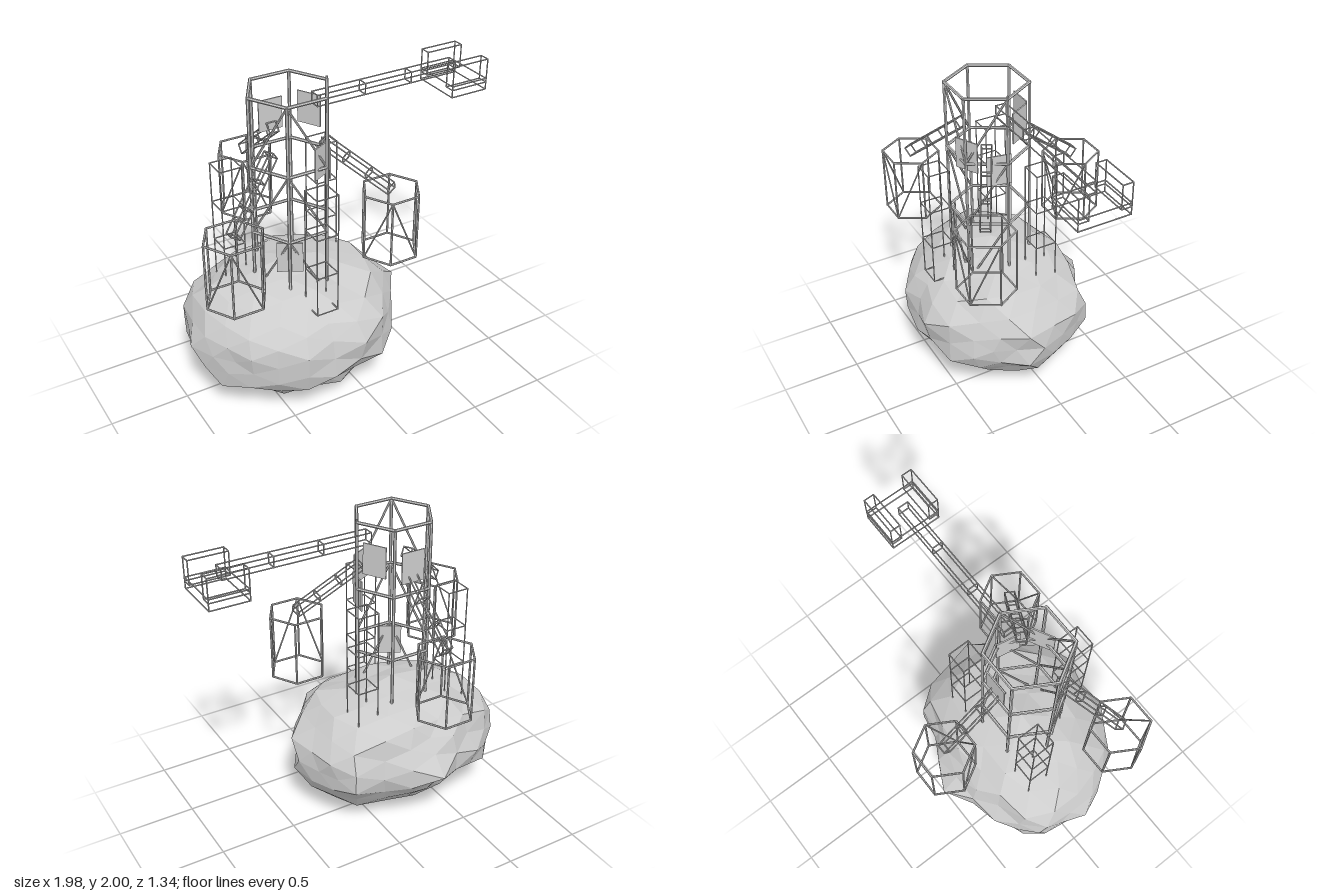
import * as THREE from 'three';
import { mergeGeometries, mergeVertices } from 'three/addons/utils/BufferGeometryUtils.js';

const V = (x, y, z) => new THREE.Vector3(x, y, z);
const CX = -0.28, CZ = 0.079; // tower axis

// straight rod between two points
function rod(a, b, r) {
  const d = b.clone().sub(a);
  const g = new THREE.CylinderGeometry(r, r, d.length() + r, 6);
  g.applyQuaternion(new THREE.Quaternion().setFromUnitVectors(V(0, 1, 0), d.normalize()));
  return g.translate((a.x + b.x) / 2, (a.y + b.y) / 2, (a.z + b.z) / 2);
}

// rectangular wire cage: a frame at every centre, joined by four long rods
function cage(centres, a, b, r) {
  const rods = [];
  const frames = centres.map(c => [[1, 1], [1, -1], [-1, -1], [-1, 1]].map(
    ([s, t]) => c.clone().addScaledVector(a, s).addScaledVector(b, t)));
  frames.forEach((f, n) => {
    for (let i = 0; i < 4; i++) {
      rods.push(rod(f[i], f[(i + 1) % 4], r));
      if (n) rods.push(rod(frames[n - 1][i], f[i], r));
    }
  });
  return rods;
}

// hexagonal wire tower with braces on its three front faces
function hexFrame(cx, cz, R, levels, rMain, rBrace) {
  const rods = [];
  const p = (i, y) => V(cx + R * Math.cos(i * Math.PI / 3), y, cz + R * Math.sin(i * Math.PI / 3));
  const y0 = levels[0], y1 = levels[levels.length - 1];
  for (let i = 0; i < 6; i++) {
    rods.push(rod(p(i, y0), p(i, y1), rMain));
    for (const y of levels) rods.push(rod(p(i, y), p(i + 1, y), rMain));
  }
  for (let n = 1; n < levels.length; n++) {
    for (let i = 0; i < 3; i++) {
      const up = i % 2 === 0;
      rods.push(rod(p(i, levels[up ? n : n - 1]), p(i + 1, levels[up ? n - 1 : n]), rBrace));
    }
  }
  return rods;
}

// boulder outlines in the three main planes, as radius factors every 22.5 degrees
const OUTLINE_XY = [1, 1, 1.03, 0.92, 0.97, 0.94, 1.03, 1, 1, 1.03, 0.99, 0.94, 1, 0.985, 1, 1.01];
const OUTLINE_ZY = [0.99, 0.99, 0.945, 0.915, 1, 1, 1, 0.92, 1.05, 0.82, 0.85, 1.02, 1, 1.015, 0.99, 0.98];
const OUTLINE_XZ = [1.01, 0.97, 1, 1.04, 0.99, 0.935, 0.93, 0.925, 0.97, 1.02, 1.02, 0.91, 1.05, 0.9, 1.01, 1.03];

function outlineRadius(outline, u, v) {
  const t = ((Math.atan2(v, u) / (Math.PI * 2) + 1) % 1) * 16;
  const i = Math.floor(t);
  return THREE.MathUtils.lerp(outline[i % 16], outline[(i + 1) % 16], t - i);
}

// faceted boulder: an ellipsoid blended between the outlines and roughened
function boulderGeometry() {
  let g = new THREE.IcosahedronGeometry(1, 3);
  g.deleteAttribute('uv');
  g.deleteAttribute('normal');
  g = mergeVertices(g, 1e-3);
  const pos = g.attributes.position, d = V(0, 0, 0);
  const hash = i => {
    const s = Math.sin(i * 127.1 + 31.7) * 43758.5453;
    return s - Math.floor(s);
  };
  for (let i = 0; i < pos.count; i++) {
    d.fromBufferAttribute(pos, i).normalize();
    const w = [d.z, d.x, d.y].map(k => (1 - k * k) ** 6);
    let s = (w[0] * outlineRadius(OUTLINE_XY, d.x, d.y) + w[1] * outlineRadius(OUTLINE_ZY, d.z, d.y)
      + w[2] * outlineRadius(OUTLINE_XZ, d.x, d.z)) / (w[0] + w[1] + w[2]);
    // the base point and the rear spike stay sharp
    if (d.y > -0.99 && d.z > -0.99) s *= 0.92 + 0.11 * hash(i);
    pos.setXYZ(i, -0.285 + d.x * s * 0.71, 0.44 + d.y * s * 0.44, 0.07 + d.z * s * 0.6);
  }
  g = g.toNonIndexed();
  g.computeVertexNormals();
  return g;
}

export function createModel() {
  const root = new THREE.Group();
  const grey = new THREE.MeshStandardMaterial({ color: 0xcccccc, flatShading: true });
  grey.name = 'lightGrey';
  const add = (name, geo) => {
    const m = new THREE.Mesh(Array.isArray(geo) ? mergeGeometries(geo) : geo, grey);
    m.name = name;
    root.add(m);
    return m;
  };

  add('boulder', boulderGeometry());

  // central tower, with one post rising slightly above the top ring
  const tower = hexFrame(CX, CZ, 0.25, [0.69, 1.12, 1.55, 1.978], 0.01, 0.007);
  tower.push(rod(V(CX + 0.25, 1.97, CZ), V(CX + 0.25, 1.995, CZ), 0.007));
  add('tower', tower);

  // three hanging pods and the sloping arms that carry them
  [30, 150, 270].forEach((deg, n) => {
    const t = deg * Math.PI / 180;
    const out = V(Math.cos(t), 0, Math.sin(t));
    const at = (r, y) => V(CX + out.x * r, y, CZ + out.z * r);
    const pod = at(0.594, 0);
    add('pod' + (n + 1), hexFrame(pod.x, pod.z, 0.18, [0.915, 1.334], 0.0065, 0.005));

    const a = at(0.195, 1.655), b = at(0.594, 1.338);
    const side = V(-out.z, 0, out.x);
    const normal = b.clone().sub(a).normalize().cross(side);
    const centres = [0, 1, 2, 3].map(k => a.clone().lerp(b, k / 3));
    add('podArm' + (n + 1), cage(centres, side.multiplyScalar(0.03), normal.multiplyScalar(0.031), 0.0045));
  });

  // three square columns around the tower
  [90, 210, 330].forEach((deg, n) => {
    const t = deg * Math.PI / 180;
    const x = CX + 0.37 * Math.cos(t), z = CZ + 0.37 * Math.sin(t);
    const centres = [0.72, 0.977, 1.238, 1.497].map(y => V(x, y, z));
    add('column' + (n + 1), cage(centres, V(0.069, 0, 0), V(0, 0, 0.069), 0.004));
  });

  // long horizontal boom with a wire platform at its end
  add('boom', cage([-0.11, 0.21, 0.53, 0.85].map(x => V(x, 1.875, CZ)),
    V(0, 0.034, 0), V(0, 0, 0.033), 0.004));
  const wireBox = (y0, y1, z, hz) => cage([V(0.742, 0, z), V(0.99, 0, z)].map(c => c.setY((y0 + y1) / 2)),
    V(0, (y1 - y0) / 2, 0), V(0, 0, hz), 0.004);
  add('platformBase', wireBox(1.745, 1.815, CZ, 0.162));
  add('platformRailFront', wireBox(1.792, 1.94, 0.21, 0.032));
  add('platformRailBack', wireBox(1.792, 1.94, -0.052, 0.032));

  // flat plates on the tower: angle, height, distance from the axis
  [[-90, 1.727, 0.224], [62, 1.593, 0.224], [-29.4, 1.765, 0.224], [11.4, 1.505, 0.224], [120, 1.005, 0.224]]
    .forEach(([deg, y, r], n) => {
      const t = deg * Math.PI / 180;
      const plate = add('plate' + (n + 1), new THREE.BoxGeometry(0.155, 0.2, 0.008));
      plate.position.set(CX + r * Math.cos(t), y, CZ + r * Math.sin(t));
      plate.rotation.y = Math.PI / 2 - t;
    });

  return root;
}
